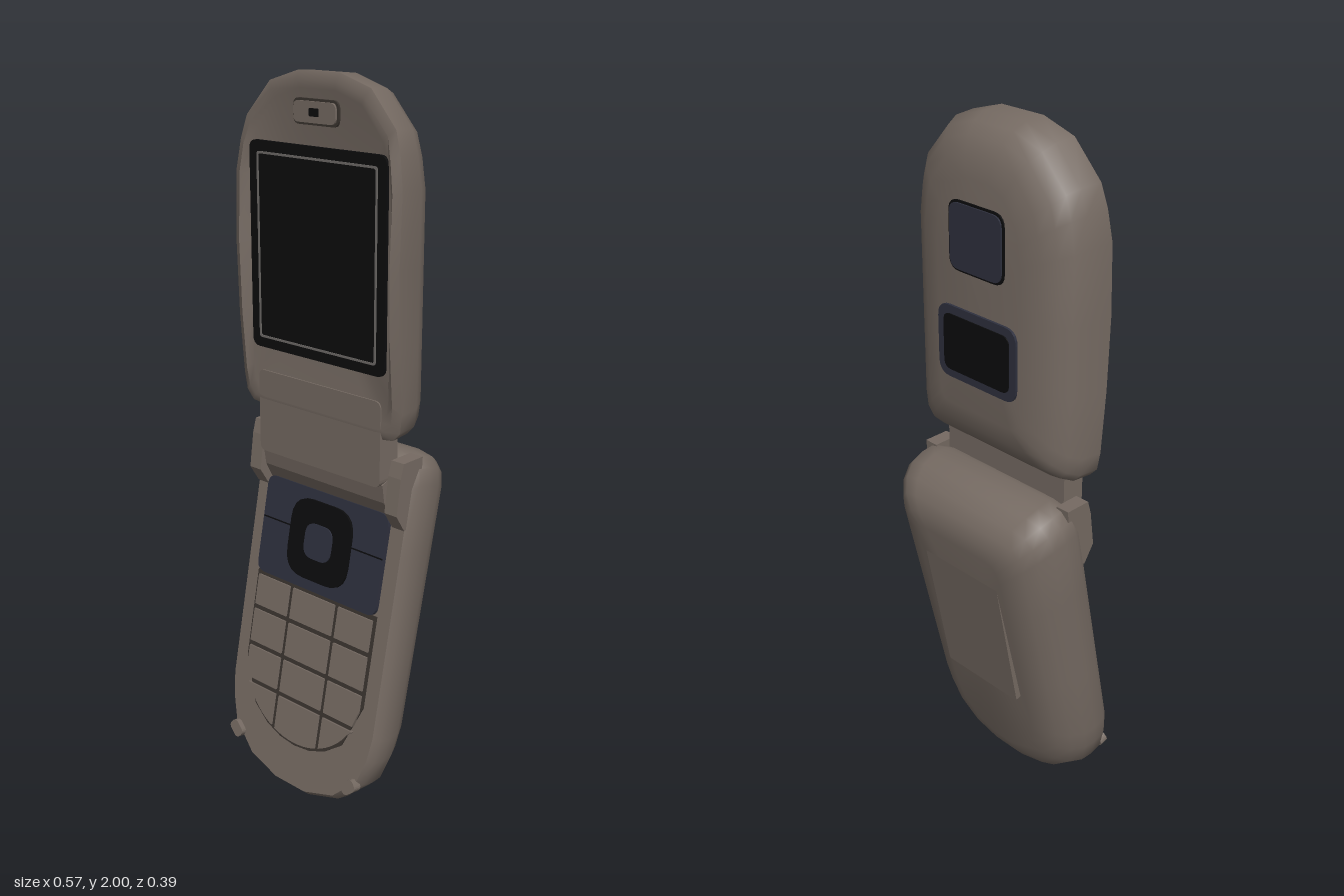
import * as THREE from 'three';
import { toCreasedNormals } from 'three/addons/utils/BufferGeometryUtils.js';

const mat = (name, color) => {
  const m = new THREE.MeshStandardMaterial({ color });
  m.name = name;
  return m;
};

// Loft a mirrored half outline (bottom to top) through [z, inset] layers, front to back
function shell(half, layers, warp) {
  const ring = [...half, ...half.map(([x, y]) => [-x, y]).reverse()];
  const y0 = half[0][1], y1 = half[half.length - 1][1];
  const cy = (y0 + y1) / 2, hh = (y1 - y0) / 2, hw = Math.max(...half.map(p => p[0]));
  const n = ring.length, pos = [], idx = [];
  for (const [z, inset] of layers) {
    for (const [px, py] of ring) {
      const x = px * (1 - inset / hw), y = cy + (py - cy) * (1 - inset / hh);
      pos.push(x, y, warp(x, y, z));
    }
  }
  for (let l = 0; l < layers.length - 1; l++) {
    for (let i = 0; i < n; i++) {
      const j = (i + 1) % n, a = l * n, b = a + n;
      idx.push(a + i, b + i, b + j, a + i, b + j, a + j);
    }
  }
  const last = (layers.length - 1) * n, c = layers.length * n;
  pos.push(0, cy, warp(0, cy, layers[0][0]), 0, cy, warp(0, cy, layers[layers.length - 1][0]));
  for (let i = 0; i < n; i++) {
    const j = (i + 1) % n;
    idx.push(c, i, j, c + 1, last + j, last + i);
  }
  const g = new THREE.BufferGeometry();
  g.setAttribute('position', new THREE.Float32BufferAttribute(pos, 3));
  g.setIndex(idx);
  return toCreasedNormals(g, 0.75);
}

function roundRect(w, h, r, Type = THREE.Shape) {
  const s = new Type(), x = w / 2, y = h / 2;
  s.moveTo(-x + r, -y);
  s.lineTo(x - r, -y).quadraticCurveTo(x, -y, x, -y + r);
  s.lineTo(x, y - r).quadraticCurveTo(x, y, x - r, y);
  s.lineTo(-x + r, y).quadraticCurveTo(-x, y, -x, y - r);
  s.lineTo(-x, -y + r).quadraticCurveTo(-x, -y, -x + r, -y);
  return s;
}

const extrude = (shape, depth) =>
  new THREE.ExtrudeGeometry(shape, { depth, bevelEnabled: false, curveSegments: 5 });

export function createModel() {
  const body = mat('taupe casing', 0x756a62);
  const navy = mat('navy trim', 0x2e303e);
  const black = mat('black glass', 0x0c0c0d);
  const groove = mat('dark groove', 0x3a342f);
  const line = mat('grey line', 0x6e6b68);

  const model = new THREE.Group();
  const upper = new THREE.Group();
  const lower = new THREE.Group();
  upper.name = 'lid';
  lower.name = 'base';
  model.add(upper, lower);
  lower.position.z = 0.2;
  lower.rotation.x = -0.2;

  const add = (parent, name, geo, material, x = 0, y = 0, z = 0) => {
    const m = new THREE.Mesh(geo, material);
    m.name = name;
    m.position.set(x, y, z);
    parent.add(m);
    return m;
  };
  const plate = (parent, name, material, w, h, r, x, y, z, depth) =>
    add(parent, name, extrude(roundRect(w, h, r), depth), material, x, y, z);

  // Lid casing with raised side rims
  const lidHalf = [[0.22, 1.1], [0.255, 1.105], [0.278, 1.13], [0.285, 1.18], [0.285, 1.35], [0.285, 1.55],
    [0.285, 1.74], [0.272, 1.82], [0.253, 1.88], [0.17, 1.97], [0.07, 2]];
  const lidLayers = [[0.066, 0.042], [0.071, 0.022], [0.06, 0], [0, 0.004], [-0.035, 0.02],
    [-0.062, 0.046], [-0.082, 0.085], [-0.093, 0.14]];
  add(upper, 'lidCasing', shell(lidHalf, lidLayers, (x, y, z) =>
    z > 0.05 && Math.abs(x) > 0.245 ? z + 0.022 * Math.max(0, Math.sin(Math.PI * (y - 1.15) / 0.77)) : z), body);

  // Main screen
  plate(upper, 'screenFrame', black, 0.47, 0.55, 0.025, 0, 1.545, 0.066, 0.009);
  const border = roundRect(0.415, 0.495, 0.01);
  border.holes.push(roundRect(0.403, 0.483, 0.008, THREE.Path));
  add(upper, 'screenBorder', extrude(border, 0.002), line, 0, 1.545, 0.075);

  // Earpiece
  plate(upper, 'earpieceGroove', groove, 0.154, 0.064, 0.02, 0, 1.903, 0.06, 0.012);
  plate(upper, 'earpiece', body, 0.142, 0.052, 0.016, 0, 1.903, 0.066, 0.012);
  plate(upper, 'earpieceHole', black, 0.032, 0.02, 0.004, 0, 1.903, 0.078, 0.002);

  // Back window and camera plate
  plate(upper, 'windowFrame', navy, 0.28, 0.2, 0.04, 0, 1.42, -0.1, 0.014);
  plate(upper, 'windowGlass', black, 0.235, 0.155, 0.025, 0, 1.42, -0.103, 0.004);
  plate(upper, 'cameraRim', black, 0.192, 0.182, 0.035, 0, 1.71, -0.097, 0.02);
  plate(upper, 'cameraPlate', navy, 0.18, 0.17, 0.03, 0, 1.71, -0.101, 0.01);

  // Base casing, thicker toward the hinge
  const baseHalf = [[0.06, 0.016], [0.17, 0.05], [0.25, 0.125], [0.275, 0.2], [0.285, 0.27], [0.285, 0.5],
    [0.285, 0.8], [0.285, 0.99], [0.275, 1.035], [0.25, 1.06], [0.2, 1.07]];
  const baseLayers = [[0, 0.014], [-0.02, 0.002], [-0.06, 0], [-0.1, 0.005], [-0.14, 0.024],
    [-0.17, 0.052], [-0.188, 0.085], [-0.196, 0.125]];
  add(lower, 'baseCasing', shell(baseHalf, baseLayers, (x, y, z) => z * (0.93 + 0.13 * y)), body);
  plate(lower, 'batteryCover', body, 0.28, 0.44, 0.006, 0, 0.64, -0.207, 0.03).rotation.x = 0.015;

  // Hinge leaf, bridge and ears
  plate(model, 'hingeLeaf', body, 0.44, 0.235, 0.02, 0, 1.085, 0, 0.07);
  const slab = (name, points, width, x) => {
    const g = extrude(new THREE.Shape(points.map(([z, y]) => new THREE.Vector2(-z, y))), width);
    g.translate(0, 0, -width / 2).rotateY(Math.PI / 2);
    add(model, name, g, body, x);
  };
  slab('hingeBridge', [[0.058, 0.972], [0.05, 0.92], [0.024, 0.87], [-0.04, 0.88], [-0.04, 1.0], [0, 1.0]].reverse(), 0.44, 0);
  for (const s of [-1, 1]) {
    slab('hingeEar', [[0.036, 1.04], [0.048, 1.0], [0.062, 0.9], [0.03, 0.85], [-0.03, 0.87],
      [-0.04, 1.04]].reverse(), 0.042, s * 0.252);
  }

  // Navigation panel
  plate(lower, 'navigationPanel', navy, 0.45, 0.285, 0.03, 0, 0.755, 0, 0.012);
  for (const s of [-1, 1]) plate(lower, 'panelSeam', black, 0.11, 0.004, 0.001, s * 0.168, 0.775, 0.011, 0.002);
  plate(lower, 'navigationRing', black, 0.225, 0.225, 0.07, 0, 0.757, 0.008, 0.012);
  plate(lower, 'selectButton', navy, 0.1, 0.1, 0.035, 0, 0.757, 0.012, 0.012);

  // Keypad bed and keys, trimmed by a curved lower edge
  const curve = (x, w, low) => low + 0.2 * (1 - Math.sqrt(Math.max(0, 1 - (x / w) ** 2)));
  const trimmed = (x0, x1, top, low, w, edge) => {
    const pts = [new THREE.Vector2(x1, top), new THREE.Vector2(x0, top)];
    for (let i = 0; i <= 8; i++) {
      const x = x0 + (x1 - x0) * i / 8;
      pts.push(new THREE.Vector2(x, Math.min(top - 0.002, Math.max(low, curve(x, w, edge)))));
    }
    return new THREE.Shape(pts);
  };
  add(lower, 'keypadBed', extrude(trimmed(-0.226, 0.226, 0.613, 0, 0.226, 0.15), 0.004), groove);
  const rows = [[0.6, 0.51], [0.495, 0.398], [0.383, 0.288], [0.273, 0.16]];
  const columns = [[-0.217, -0.093], [-0.079, 0.079], [0.093, 0.217]];
  for (const [top, low] of rows) {
    for (const [a, b] of columns) {
      const limit = top < 0.3 ? 0.203 : 0.217;
      add(lower, 'key', extrude(trimmed(Math.max(a, -limit), Math.min(b, limit), top, low, 0.219, 0.16), 0.01), body);
    }
  }

  // Small bumpers at the foot of the base
  for (const s of [-1, 1]) {
    plate(lower, 'bumper', body, 0.05, 0.036, 0.016, s * 0.222, 0.118, -0.01, 0.026).rotation.z = s * 0.7;
  }
  return model;
}
